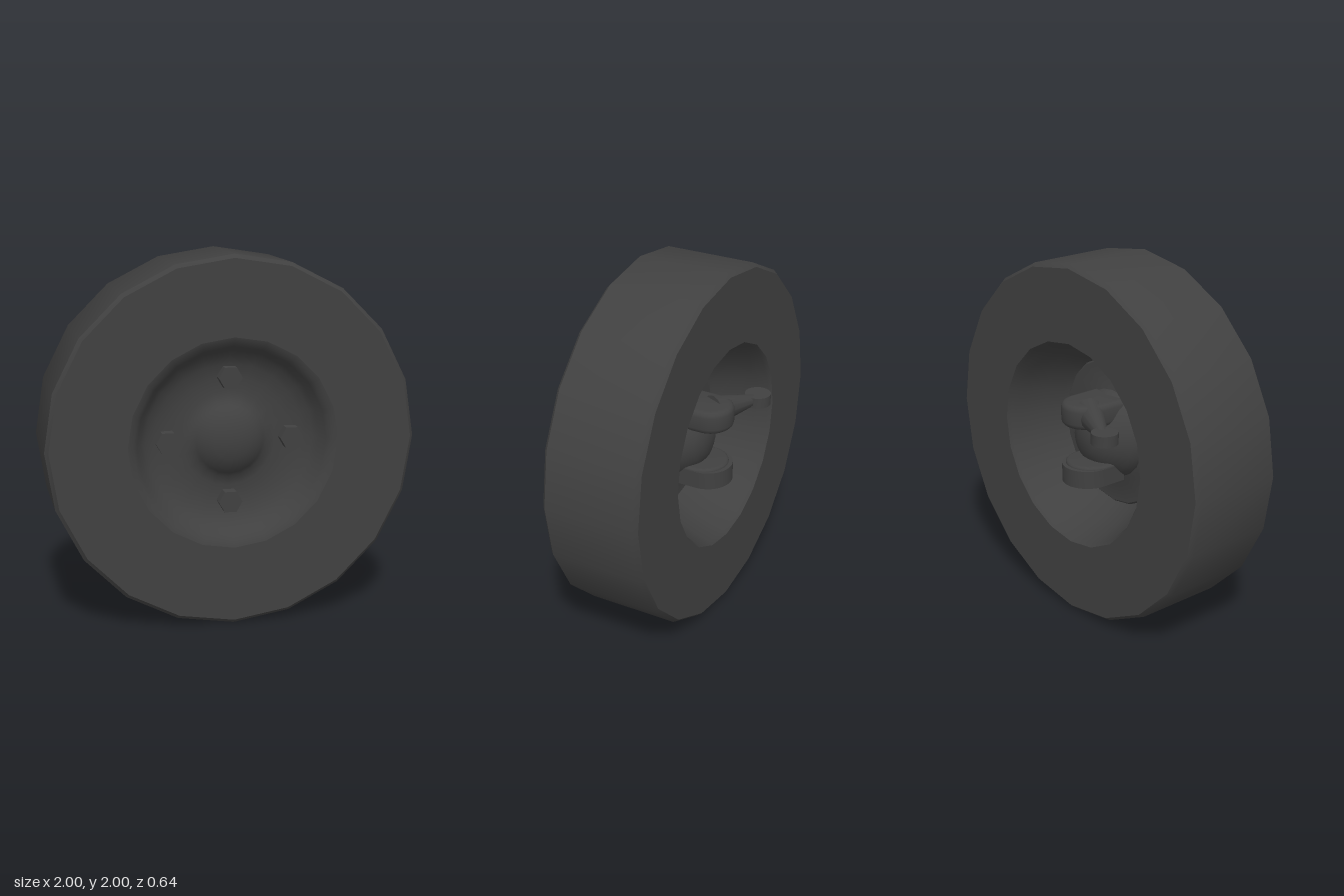
import * as THREE from 'three';
import { toCreasedNormals } from 'three/addons/utils/BufferGeometryUtils.js';

const material = new THREE.MeshStandardMaterial({ color: 0x404040 });

function part(parent, name, geometry, x = 0, y = 0, z = 0) {
  const mesh = new THREE.Mesh(toCreasedNormals(geometry, 0.75), material);
  mesh.name = name;
  mesh.position.set(x, y, z);
  parent.add(mesh);
  return mesh;
}

// Turned around the axle; points are [radius, z], running from back to front
function turned(points, sides = 20) {
  const pts = points.map(([r, z]) => new THREE.Vector2(r, z));
  return new THREE.LatheGeometry(pts, sides).rotateX(Math.PI / 2);
}

// Horizontal lug with a rounded rear end; optional round socket through it
function lug(radius, zFront, zBack, height, bevel, hole = 0) {
  const end = -zBack - radius;
  const shape = new THREE.Shape();
  shape.moveTo(radius, -zFront);
  shape.lineTo(radius, end);
  shape.absarc(0, end, radius, 0, Math.PI, false);
  shape.lineTo(-radius, -zFront);
  shape.closePath();
  if (hole) shape.holes.push(new THREE.Path().absarc(0, end, hole, 0, Math.PI * 2, true));
  return new THREE.ExtrudeGeometry(shape, {
    depth: height - 2 * bevel, bevelEnabled: bevel > 0, bevelThickness: bevel,
    bevelSize: bevel, bevelOffset: -bevel, bevelSegments: 3, curveSegments: 10,
  }).translate(0, 0, bevel).rotateX(-Math.PI / 2);
}

export function createModel() {
  const root = new THREE.Group();
  root.name = 'wheel';

  // Tyre with chamfered shoulders
  part(root, 'tyre', turned([
    [0.575, -0.23], [0.98, -0.23], [1, -0.205], [1, 0.3], [0.98, 0.32], [0.57, 0.32],
  ]), 0, 1);

  // Dished front with a domed hub
  part(root, 'frontRim', turned([
    [0.57, 0.32], [0.54, 0.31], [0.515, 0.28], [0.49, 0.235], [0.46, 0.205], [0.41, 0.18],
    [0.34, 0.165], [0.26, 0.165], [0.21, 0.175], [0.185, 0.2], [0.15, 0.23],
    [0.1, 0.253], [0.05, 0.264], [0, 0.267],
  ]), 0, 1);

  // Deep hollow at the back
  part(root, 'rearRim', turned([
    [0, 0.13], [0.42, 0.13], [0.45, 0.08], [0.5, -0.02], [0.54, -0.13], [0.56, -0.21], [0.575, -0.23],
  ]), 0, 1);

  // Four hexagonal nuts
  for (let i = 0; i < 4; i++) {
    const a = (i * Math.PI) / 2;
    const nut = new THREE.CylinderGeometry(0.065, 0.065, 0.09, 6).rotateY(Math.PI / 6).rotateX(Math.PI / 2);
    part(root, 'wheelNut', nut, 0.34 * Math.cos(a), 1 + 0.34 * Math.sin(a), 0.185);
  }

  // Brake disc and steering knuckle inside the hollow
  part(root, 'brakeDisc', turned([
    [0, 0.075], [0.26, 0.075], [0.28, 0.085], [0.41, 0.085], [0.42, 0.095], [0.42, 0.13],
  ]), 0, 1);

  const knuckle = new THREE.Group();
  knuckle.name = 'steeringKnuckle';
  root.add(knuckle);
  part(knuckle, 'knuckleBody', turned([
    [0, -0.12], [0.07, -0.115], [0.13, -0.09], [0.18, -0.045], [0.225, 0.01], [0.25, 0.05], [0.25, 0.1],
  ]), 0, 1);
  part(knuckle, 'upperLug', lug(0.13, 0.07, -0.25, 0.13, 0.03), 0, 1.105);
  part(knuckle, 'lowerLug', lug(0.14, 0.07, -0.22, 0.04, 0.015), 0, 0.845);
  part(knuckle, 'lowerSocket', lug(0.14, 0.04, -0.245, 0.1, 0, 0.115), 0, 0.77);
  part(knuckle, 'ballJoint', new THREE.CylinderGeometry(0.11, 0.05, 0.05, 6), 0, 0.83, -0.105);

  // Tapered steering arm ending in a flat eye
  const from = new THREE.Vector3(-0.03, 1.175, -0.12);
  const to = new THREE.Vector3(-0.3, 1.15, -0.245);
  const span = to.clone().sub(from);
  const arm = new THREE.CylinderGeometry(0.028, 0.085, span.length(), 12, 1);
  const mid = from.clone().lerp(to, 0.5);
  part(knuckle, 'steeringArm', arm, mid.x, mid.y, mid.z)
    .quaternion.setFromUnitVectors(new THREE.Vector3(0, 1, 0), span.normalize());
  part(knuckle, 'steeringArmEye', new THREE.CylinderGeometry(0.073, 0.073, 0.062, 20), -0.32, 1.15, -0.252);

  return root;
}
